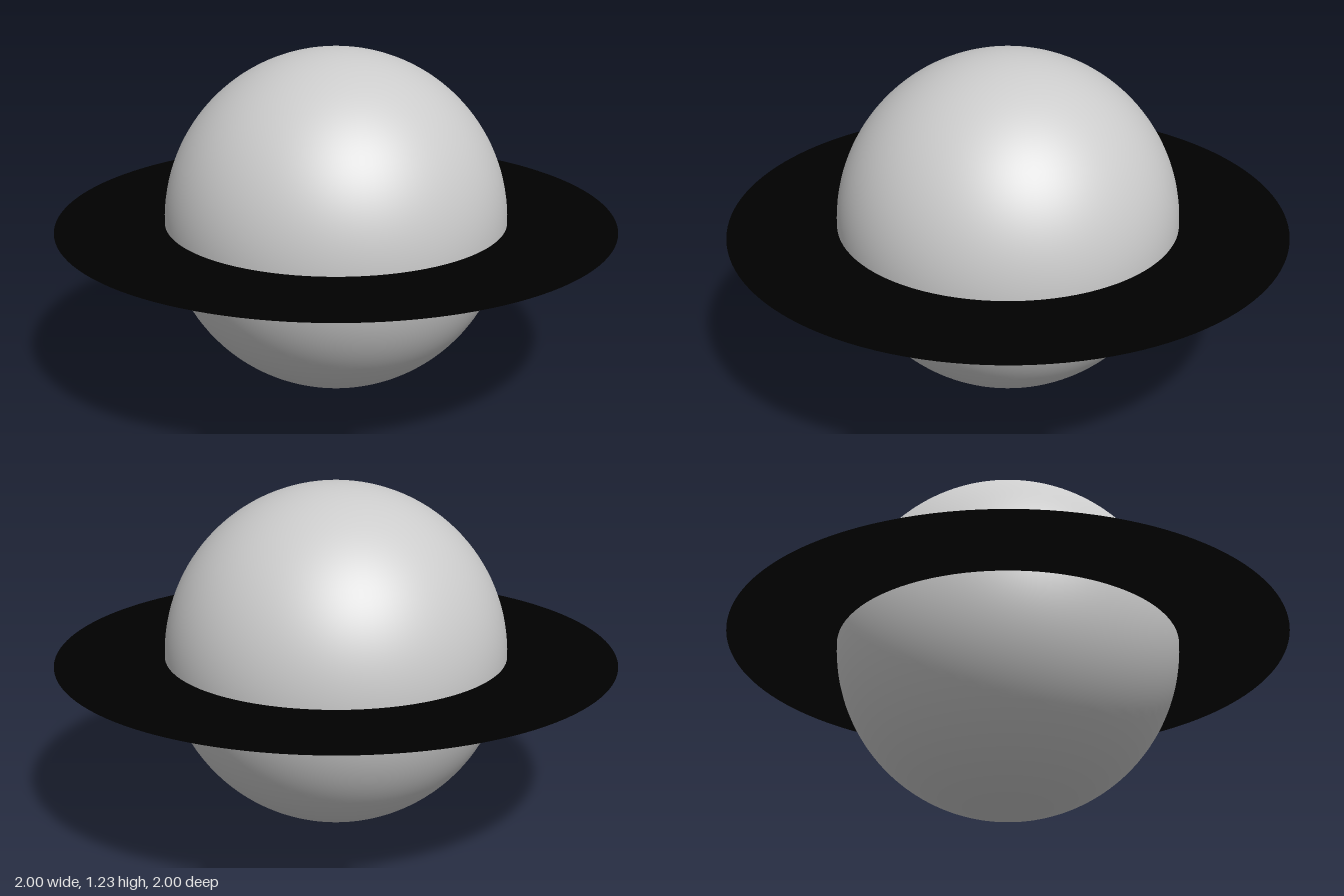
import * as THREE from 'three';

const RADIUS = 0.613;

export function createModel() {
  const group = new THREE.Group();
  group.name = 'ringedPlanet';

  // Smooth globe resting on the ground
  const planet = new THREE.Mesh(
    new THREE.SphereGeometry(RADIUS, 96, 64),
    new THREE.MeshStandardMaterial({ color: 0xcccccc })
  );
  planet.name = 'planet';
  planet.position.y = RADIUS;
  group.add(planet);

  // Flat, paper-thin dark ring around the equator
  const ring = new THREE.Mesh(
    new THREE.RingGeometry(RADIUS - 0.005, 1, 128, 1).rotateX(-Math.PI / 2),
    new THREE.MeshStandardMaterial({ color: 0x000000, side: THREE.DoubleSide })
  );
  ring.name = 'ring';
  ring.position.y = RADIUS;
  group.add(ring);

  return group;
}
